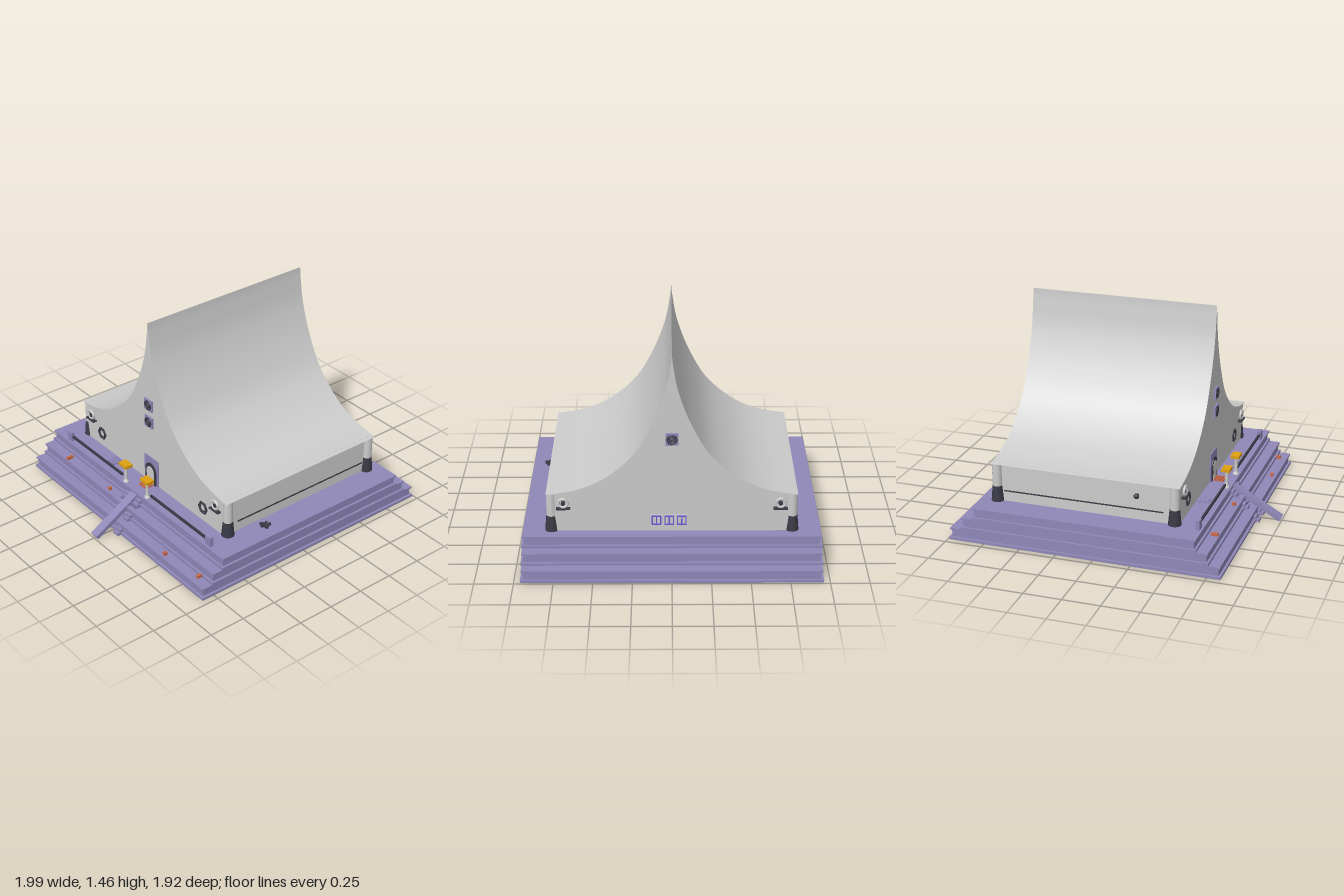
import * as THREE from 'three';
import { toCreasedNormals } from 'three/addons/utils/BufferGeometryUtils.js';

const mat = (color) => new THREE.MeshStandardMaterial({ color, side: THREE.DoubleSide });
const GREY = mat(0xcccccc), PURPLE = mat(0x8f88b8), DARK = mat(0x3a3a46),
  GOLD = mat(0xe0a010), ORANGE = mat(0xc86848), VIOLET = mat(0x6a58d8);

export function createModel() {
  const model = new THREE.Group();

  const add = (name, geo, m, x = 0, y = 0, z = 0, parent = model) => {
    const mesh = new THREE.Mesh(geo, m);
    mesh.name = name;
    mesh.position.set(x, y, z);
    parent.add(mesh);
    return mesh;
  };
  const box = (name, m, w, h, d, x, y, z, parent) =>
    add(name, new THREE.BoxGeometry(w, h, d), m, x, y, z, parent);
  const group = (name, x, y, z, turn = 0) => {
    const g = new THREE.Group();
    g.name = name;
    g.position.set(x, y, z);
    g.rotation.y = turn;
    model.add(g);
    return g;
  };

  // Stepped plinth: three tiers with lips, the lower two hollow underneath
  const room = [[0.64, -0.6], [0.64, 0.6], [-0.5, 0.6], [-0.5, 0.09], [-0.72, 0.09],
    [-0.72, -0.09], [-0.5, -0.09], [-0.5, -0.6]].map(([x, y]) => new THREE.Vector2(x, y));
  const layers = [[0, 0.018, 0], [0.018, 0.05, 0.016], [0.068, 0.012, 0.006]];
  for (let t = 0; t < 3; t++) {
    for (const [y, h, inset] of layers) {
      const x0 = -0.84 + t * 0.08 + inset, x1 = 0.99 - t * 0.08 - inset, z = 0.96 - inset;
      const s = new THREE.Shape([[x0, -z], [x1, -z], [x1, z], [x0, z]].map((p) => new THREE.Vector2(...p)));
      if (t < 2) s.holes.push(new THREE.Path(room));
      const geo = new THREE.ExtrudeGeometry(s, { depth: h, bevelEnabled: false }).rotateX(-Math.PI / 2);
      add('plinthTier', geo, PURPLE, 0, t * 0.08 + y, 0);
    }
  }

  // Walls
  box('walls', GREY, 1.255, 0.265, 1.54, 0.113, 0.3725, 0);
  for (const s of [-1, 1]) box('wallTrim', DARK, 1.08, 0.007, 0.01, 0.13, 0.312, s * 0.771);

  // Concave roof rising to a sharp ridge
  const half = new THREE.SplineCurve([[0.8, 0.5], [0.62, 0.532], [0.44, 0.608], [0.25, 0.77],
    [0.125, 0.98], [0.042, 1.2], [0.008, 1.38], [0, 1.455]].map((p) => new THREE.Vector2(...p))).getPoints(36);
  const mirrored = half.slice(0, -1).reverse().map((p) => new THREE.Vector2(-p.x, p.y));
  const roofGeo = new THREE.ExtrudeGeometry(new THREE.Shape([...half, ...mirrored]),
    { depth: 1.275, bevelEnabled: false });
  roofGeo.rotateY(Math.PI / 2);
  add('roof', toCreasedNormals(roofGeo, 0.5), GREY, -0.525, 0, 0);

  // Corner columns with flared feet, and a lifting ring beside each
  for (const [x, side] of [[-0.485, -1], [0.718, 1]]) {
    for (const s of [-1, 1]) {
      add('column', new THREE.CylinderGeometry(0.032, 0.032, 0.16, 24), GREY, x, 0.42, s * 0.768);
      add('columnFoot', new THREE.CylinderGeometry(0.033, 0.043, 0.105, 24), DARK, x, 0.2925, s * 0.768);
      const g = group('liftingRing', side > 0 ? 0.744 : -0.519, 0.44, s * 0.69, side * Math.PI / 2);
      add('ring', new THREE.TorusGeometry(0.029, 0.009, 10, 24), GREY, 0, 0.005, 0.01, g);
      box('ringShelf', DARK, 0.09, 0.008, 0.03, 0, -0.034, 0.01, g);
      add('ringPin', new THREE.CylinderGeometry(0.014, 0.014, 0.02, 12).rotateX(Math.PI / 2), DARK, 0, 0, 0.005, g);
    }
  }

  // Square gable ports with round inserts
  for (const [x, y, side] of [[0.75, 0.89, 1], [-0.525, 0.855, -1], [-0.525, 0.727, -1]]) {
    const g = group('gablePort', x, y, 0, side * Math.PI / 2);
    box('portFrame', PURPLE, 0.08, 0.08, 0.018, 0, 0, 0.004, g);
    for (const r of [0.03, 0.018]) {
      add('portRing', new THREE.TorusGeometry(r, 0.005, 8, 24), DARK, 0, 0, 0.013, g);
    }
    add('portCentre', new THREE.SphereGeometry(0.01, 12, 8), DARK, 0, 0, 0.012, g);
  }

  // Three framed windows
  for (const z of [0.098, 0.017, -0.063]) {
    const g = group('window', 0.742, 0.318, z, Math.PI / 2);
    box('windowPlate', GREY, 0.076, 0.082, 0.01, 0, 0, 0, g);
    for (const s of [-1, 1]) {
      box('windowStile', VIOLET, 0.007, 0.062, 0.01, s * 0.027, 0, 0.004, g);
      box('windowRail', VIOLET, 0.06, 0.007, 0.01, 0, s * 0.029, 0.004, g);
    }
    box('windowMullion', VIOLET, 0.007, 0.062, 0.01, 0, 0, 0.004, g);
  }

  // Arched door on the ramp side
  const door = group('door', -0.514, 0.24, 0, -Math.PI / 2);
  const arch = (w, h) => new THREE.Shape().moveTo(-w, 0).lineTo(w, 0).lineTo(w, h)
    .absarc(0, h, w, 0, Math.PI, false).lineTo(-w, 0);
  box('doorSurround', PURPLE, 0.15, 0.2, 0.016, 0, 0.1, 0, door);
  add('doorArch', new THREE.ExtrudeGeometry(arch(0.056, 0.1), { depth: 0.012, bevelEnabled: false }), DARK, 0, 0, 0.004, door);
  add('doorLeaf', new THREE.ExtrudeGeometry(arch(0.038, 0.095), { depth: 0.005, bevelEnabled: false }), GREY, 0, 0, 0.014, door);

  // Hexagonal hatches on the ramp side and a knob on the back wall
  for (const z of [-0.58, 0.55]) {
    const g = group('hexHatch', -0.516, 0.34, z, -Math.PI / 2);
    add('hatchRim', new THREE.TorusGeometry(0.042, 0.007, 6, 6), DARK, 0, 0, 0, g);
    add('hatchRing', new THREE.TorusGeometry(0.026, 0.004, 6, 18), DARK, 0, 0, 0, g);
  }
  add('backKnob', new THREE.SphereGeometry(0.018, 16, 12), DARK, -0.24, 0.41, -0.795);
  add('backKnobStem', new THREE.CylinderGeometry(0.01, 0.01, 0.03, 12).rotateX(Math.PI / 2), DARK, -0.24, 0.41, -0.78);

  // Ramp and small stairs
  const ramp = box('ramp', PURPLE, 0.41, 0.03, 0.062, -0.817, 0.117, 0);
  ramp.rotation.z = Math.atan2(0.19, 0.33);
  for (const s of [-1, 1]) {
    for (let t = 0; t < 3; t++) {
      for (let i = 0; i < 3; i++) {
        const h = 0.02 * (i + 1);
        box('stair', PURPLE, 0.02, h, 0.05, -0.81 + t * 0.08 + i * 0.02 - 0.045, t * 0.08 + h / 2, s * 0.056);
      }
    }
  }

  // Lamp stands and low railings on either side of the stairs
  const stand = [[0.02, 0], [0.02, 0.012], [0.008, 0.02], [0.014, 0.035], [0.008, 0.05], [0.014, 0.065],
    [0.008, 0.08], [0.014, 0.095], [0.008, 0.11], [0.016, 0.125]].map((p) => new THREE.Vector2(...p));
  for (const s of [-1, 1]) {
    add('lampStand', new THREE.LatheGeometry(stand, 16), GREY, -0.645, 0.24, s * 0.12);
    box('lampHead', GOLD, 0.058, 0.02, 0.08, -0.645, 0.375, s * 0.12);
    box('railing', DARK, 0.014, 0.014, 0.62, -0.645, 0.275, s * 0.47);
    box('railingPost', PURPLE, 0.026, 0.065, 0.05, -0.645, 0.272, s * 0.78);
  }

  // Deck grating, floor tile and small blocks
  for (let i = 0; i < 5; i++) {
    box('grateBar', ORANGE, 0.008, 0.01, 0.075, -0.596 + i * 0.015, 0.245, 0);
    box('floorTileBar', PURPLE, 0.075, 0.01, 0.011, -0.565, 0.245, -0.395 + i * 0.015);
  }
  for (const z of [-0.034, 0, 0.034]) box('grateRail', ORANGE, 0.07, 0.008, 0.006, -0.566, 0.244, z);
  for (const [x, y, z, w] of [[-0.725, 0.168, -0.685, 0.045], [-0.722, 0.168, -0.205, 0.022],
    [-0.802, 0.09, 0.52, 0.022], [-0.775, 0.09, 0.84, 0.03]]) {
    box('smallBlock', ORANGE, w, 0.022, 0.02, x, y, z);
  }

  // Little pile of stones at the front of the deck
  for (let i = 0; i < 9; i++) {
    const a = i * 2.4, r = 0.011 * Math.sqrt(i);
    const stone = box('stone', DARK, 0.016, 0.018, 0.014, -0.24 + r * Math.cos(a), 0.247, 0.845 + r * Math.sin(a));
    stone.rotation.y = a;
  }
  return model;
}
